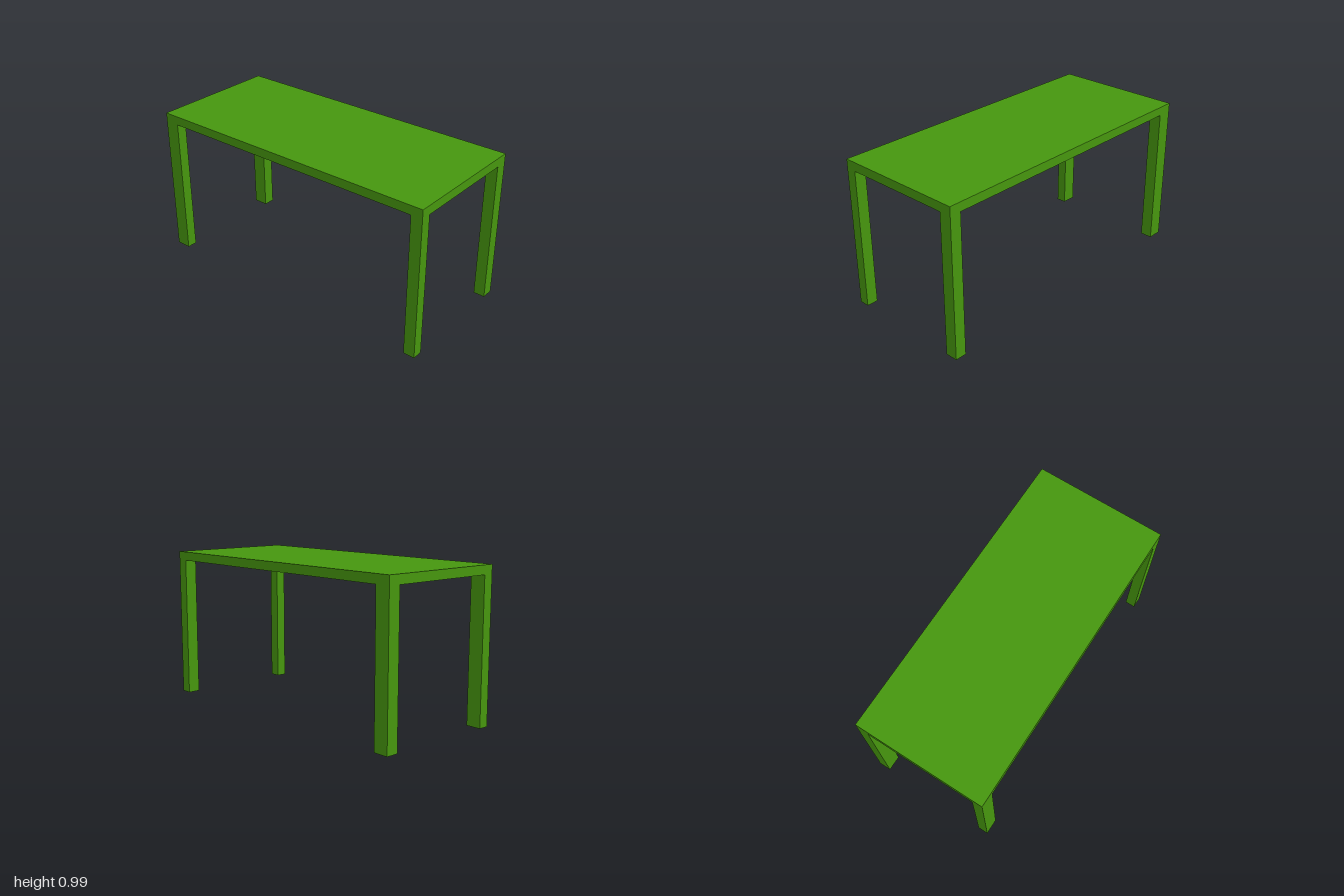
import * as THREE from 'three';

const WIDTH = 2, DEPTH = 0.866, HEIGHT = 0.985, TOP_THICKNESS = 0.058;

export function createModel() {
  const group = new THREE.Group();
  group.name = 'table';
  const material = new THREE.MeshStandardMaterial({ color: 0x46960e });

  const addBox = (name, w, h, d, x, y, z) => {
    const mesh = new THREE.Mesh(new THREE.BoxGeometry(w, h, d), material);
    mesh.name = name;
    mesh.position.set(x, y, z);
    group.add(mesh);
  };

  // Flat slab top
  addBox('tableTop', WIDTH, TOP_THICKNESS, DEPTH, 0, HEIGHT - TOP_THICKNESS / 2, 0);

  // Corner legs, flush with the edges; thickness differs per side
  const legHeight = HEIGHT - TOP_THICKNESS;
  const sides = [['Left', 1, 0.075], ['Right', -1, 0.1]];
  const ends = [['front', 1, 0.068], ['back', -1, 0.08]];
  for (const [side, sx, w] of sides) {
    for (const [end, sz, d] of ends) {
      addBox(`${end}${side}Leg`, w, legHeight, d,
        sx * (WIDTH - w) / 2, legHeight / 2, sz * (DEPTH - d) / 2);
    }
  }
  return group;
}
